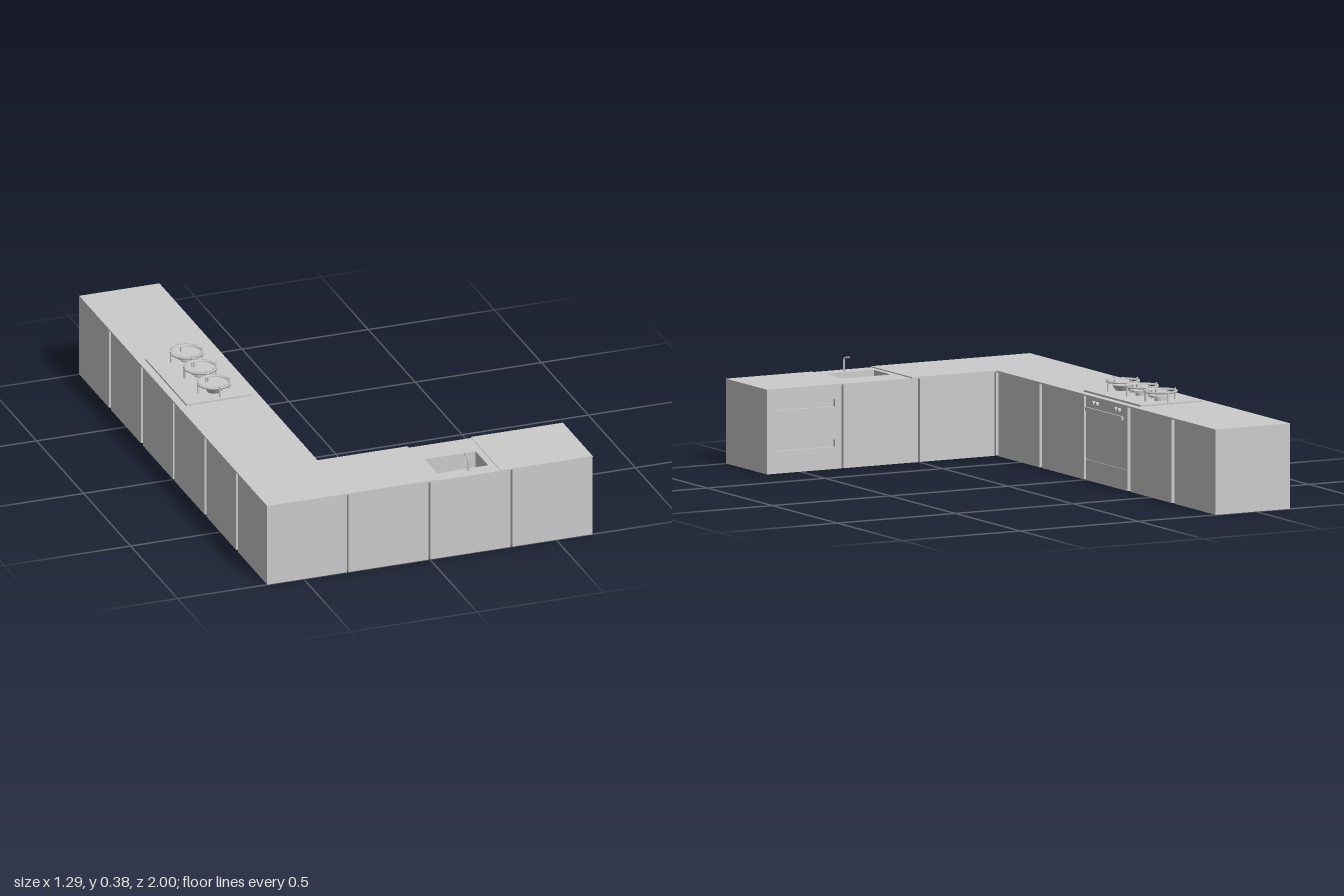
import * as THREE from 'three';

const grey = new THREE.MeshStandardMaterial({ color: 0xcccccc });

function add(parent, name, geometry, x = 0, y = 0, z = 0) {
  const mesh = new THREE.Mesh(geometry, grey);
  mesh.name = name;
  mesh.position.set(x, y, z);
  parent.add(mesh);
  return mesh;
}

// Box given by its limits on each axis
function block(parent, name, x0, x1, y0, y1, z0, z1) {
  return add(parent, name, new THREE.BoxGeometry(x1 - x0, y1 - y0, z1 - z0),
    (x0 + x1) / 2, (y0 + y1) / 2, (z0 + z1) / 2);
}

const outline = (pts) => pts.map(([a, b]) => new THREE.Vector2(a, b));
const rect = (a0, a1, b0, b1) => outline([[a0, b0], [a1, b0], [a1, b1], [a0, b1]]);

function extrude(points, holes, depth) {
  const shape = new THREE.Shape(points);
  shape.holes = holes.map((h) => new THREE.Path(h));
  return new THREE.ExtrudeGeometry(shape, { depth, bevelEnabled: false });
}

// Plan outline (x, -z) raised from y0 to y1
function slab(parent, name, points, holes, y0, y1) {
  const geometry = extrude(points, holes, y1 - y0).rotateX(-Math.PI / 2);
  return add(parent, name, geometry, 0, y0, 0);
}

const W = 0.645, H = 0.315, TOP = 0.321;
const INNER_X = -0.329, INNER_Z = 0.687;

function buildHob() {
  const hob = new THREE.Group();
  hob.name = 'hob';
  block(hob, 'hobPlate', -0.615, -0.355, TOP, 0.328, -0.376, 0.06);
  [-0.017, -0.162, -0.307].forEach((z, i) => {
    const burner = new THREE.Group();
    burner.name = 'burner';
    burner.position.set(-0.477, 0.328, z);
    hob.add(burner);
    // Burner head, the first one is a taller flared bowl
    if (i === 0) add(burner, 'burnerHead', new THREE.CylinderGeometry(0.04, 0.026, 0.022, 32), 0, 0.011, 0);
    else {
      add(burner, 'burnerBase', new THREE.CylinderGeometry(0.022, 0.022, 0.014, 24), 0, 0.007, 0);
      add(burner, 'burnerHead', new THREE.CylinderGeometry(0.038, 0.038, 0.007, 32), 0, 0.0175, 0);
    }
    // Pan ring with four legs
    const ring = [[0.055, 0.032], [0.064, 0.032], [0.064, 0.039], [0.055, 0.039], [0.055, 0.032]];
    add(burner, 'panRing', new THREE.LatheGeometry(outline(ring), 40));
    for (let k = 0; k < 4; k++) {
      const a = k * Math.PI / 2;
      add(burner, 'ringLeg', new THREE.BoxGeometry(0.006, 0.044, 0.006),
        0.062 * Math.cos(a), 0.022, 0.062 * Math.sin(a));
    }
  });
  return hob;
}

function buildOven() {
  const oven = new THREE.Group();
  oven.name = 'oven';
  const face = INNER_X;
  block(oven, 'ovenBody', -W, face - 0.003, 0, H, -0.324, -0.004);
  // Front panels with a thin joint between them
  block(oven, 'ovenDrawer', face - 0.004, face, 0, 0.078, -0.324, -0.004);
  block(oven, 'ovenDoor', face - 0.004, face, 0.082, H, -0.324, -0.004);
  // Handle bar on two posts
  block(oven, 'handle', -0.321, -0.315, 0.263, 0.278, -0.303, -0.022);
  for (const z of [-0.285, -0.04]) block(oven, 'handlePost', face, -0.319, 0.266, 0.275, z - 0.005, z + 0.005);
  for (const z of [-0.07, -0.095, -0.24, -0.265]) {
    const knob = add(oven, 'knob', new THREE.CylinderGeometry(0.009, 0.009, 0.012, 20), face + 0.005, 0.296, z);
    knob.rotation.z = Math.PI / 2;
  }
  return oven;
}

function buildSink() {
  const sink = new THREE.Group();
  sink.name = 'sinkUnit';
  const x0 = 0.002, x1 = 0.319, floor = 0.25;
  block(sink, 'sinkCabinet', x0, x1, 0, floor, INNER_Z, 1);
  // Upper part with the basin cut out
  slab(sink, 'basin', rect(x0, x1, -1, -INNER_Z), [rect(0.052, 0.254, -0.937, -0.804)], floor, 0.317);
  // Tap
  const tap = new THREE.CurvePath();
  const v = (y, z) => new THREE.Vector3(0.168, y, z);
  tap.add(new THREE.LineCurve3(v(0.315, 0.957), v(0.36, 0.957)));
  tap.add(new THREE.QuadraticBezierCurve3(v(0.36, 0.957), v(0.367, 0.957), v(0.369, 0.95)));
  tap.add(new THREE.LineCurve3(v(0.369, 0.95), v(0.375, 0.918)));
  add(sink, 'tap', new THREE.TubeGeometry(tap, 24, 0.0035, 10));
  add(sink, 'tapEnd', new THREE.SphereGeometry(0.0036, 10, 8), 0.168, 0.375, 0.918);
  return sink;
}

function buildDrawers() {
  const unit = new THREE.Group();
  unit.name = 'drawerUnit';
  const x0 = 0.326, x1 = 0.643;
  block(unit, 'drawerCabinet', x0, x1, 0, H, INNER_Z + 0.012, 1);
  // Front with two recessed grips
  const grips = [0.083, 0.235].map((y) => rect(0.355, 0.614, y, y + 0.027));
  add(unit, 'drawerFront', extrude(rect(x0, x1, 0, H), grips, 0.012), 0, 0, INNER_Z);
  return unit;
}

export function createModel() {
  const model = new THREE.Group();
  model.name = 'kitchen';

  // Plain cabinets of the long run and the corner
  for (const [z0, z1] of [[-1, -0.682], [-0.662, -0.345], [0.013, 0.335], [0.354, 0.67], [INNER_Z, 1]])
    block(model, 'cabinet', -W, INNER_X, 0, H, z0, z1);
  // Plain cabinet of the short run
  block(model, 'cabinet', -0.322, -0.005, 0, H, INNER_Z, 1);

  model.add(buildOven(), buildSink(), buildDrawers(), buildHob());

  // L-shaped worktop and the short one beyond the sink
  slab(model, 'cornerWorktop', outline([[-W, -1], [0.03, -1], [0.03, -0.682], [-0.327, -0.682], [-0.327, 1], [-W, 1]]), [], H, TOP);
  block(model, 'endWorktop', 0.28, W, H, 0.319, 0.682, 1);
  return model;
}
